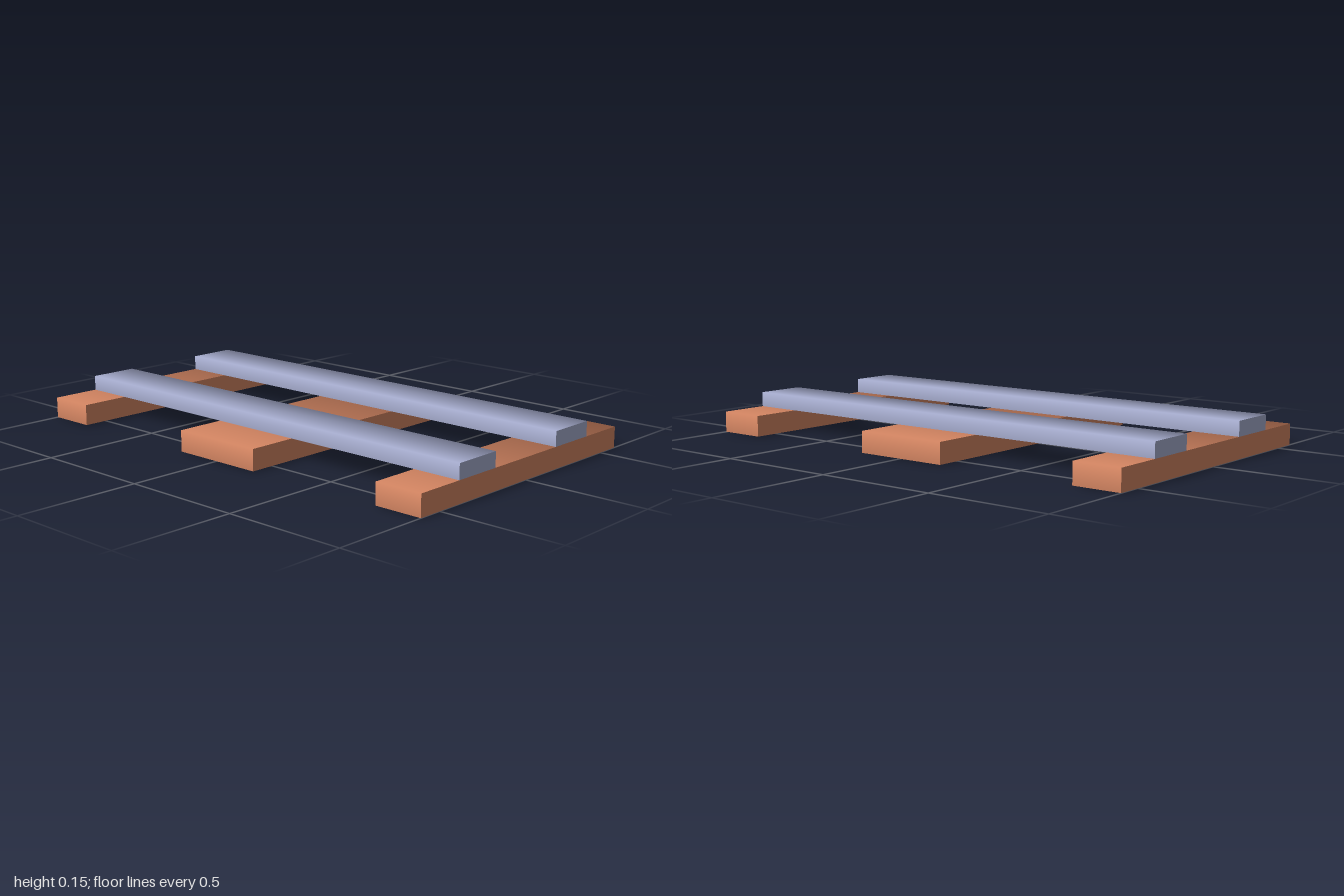
import * as THREE from 'three';

export function createModel() {
  const group = new THREE.Group();
  const wood = new THREE.MeshStandardMaterial({ color: 0xcc805e });
  wood.name = 'terracotta wood';
  const paint = new THREE.MeshStandardMaterial({ color: 0xa1a7c8 });
  paint.name = 'blue grey paint';

  // Plank whose upper front and back edges are shaded smoothly, all others sharp
  function plank(name, material, x0, x1, y0, y1, z0, z1) {
    const geometry = new THREE.BoxGeometry(x1 - x0, y1 - y0, z1 - z0);
    const { position, normal } = geometry.attributes;
    for (let i = 0; i < position.count; i++) {
      const isSide = Math.abs(normal.getX(i)) > 0.5;
      const isBottom = normal.getY(i) < -0.5;
      if (isSide || isBottom || position.getY(i) < 0) continue;
      normal.setXYZ(i, 0, Math.SQRT1_2, Math.sign(position.getZ(i)) * Math.SQRT1_2);
    }
    const mesh = new THREE.Mesh(geometry, material);
    mesh.name = name;
    mesh.position.set((x0 + x1) / 2, (y0 + y1) / 2, (z0 + z1) / 2);
    group.add(mesh);
  }

  // Bearers on the ground, running front to back
  plank('rightBearer', wood, -1, -0.8, 0, 0.086, -0.6, 0.6);
  plank('middleBearer', wood, -0.2, 0.2, 0, 0.086, -0.6, 0.6);
  plank('leftBearer', wood, 0.8, 1, 0, 0.086, -0.6, 0.6);

  // Slats lying across the bearers
  plank('frontSlat', paint, -1, 1, 0.086, 0.147, 0.188, 0.395);
  plank('backSlat', paint, -1, 1, 0.086, 0.147, -0.395, -0.188);

  return group;
}
